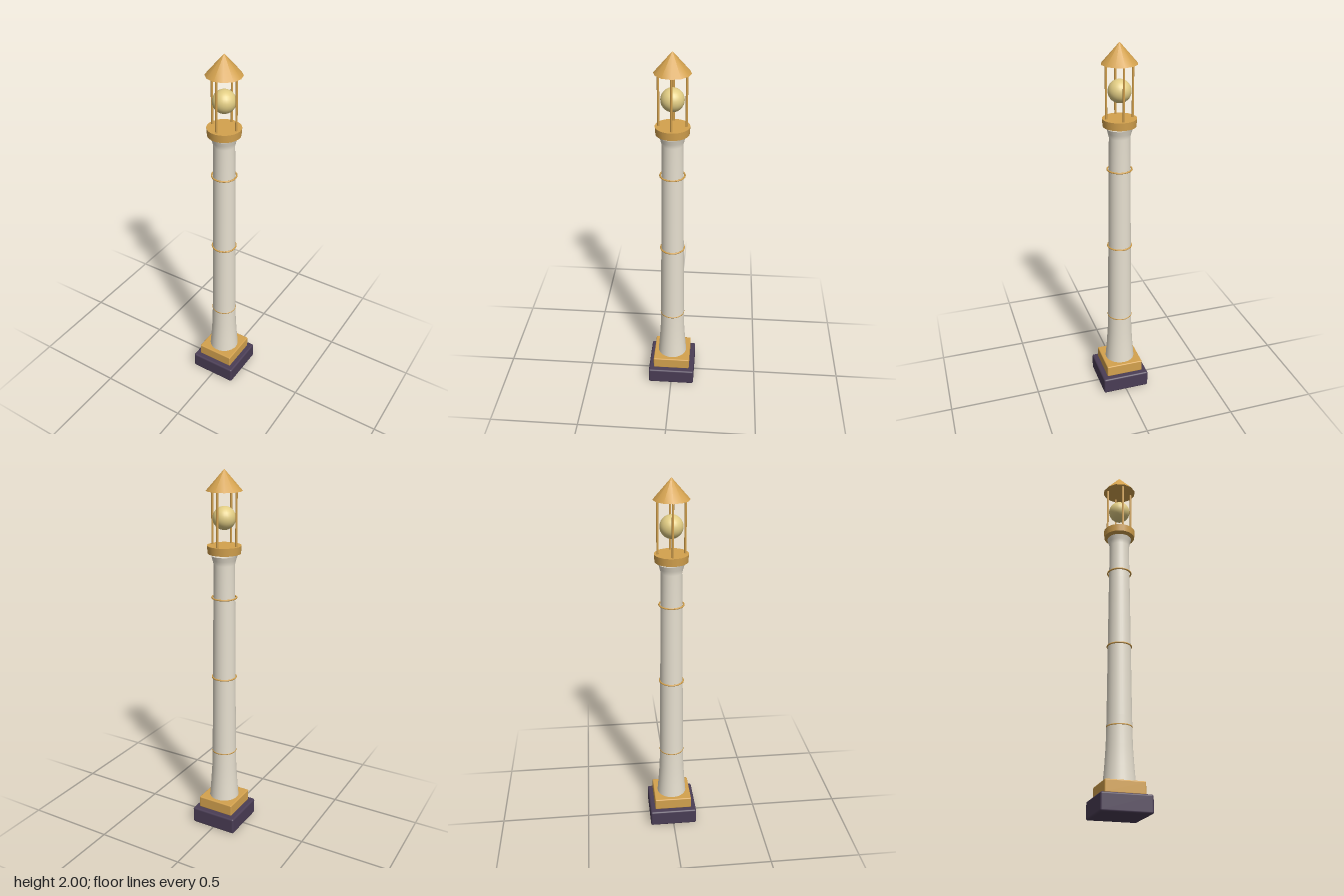
import * as THREE from 'three';
import { RoundedBoxGeometry } from 'three/addons/geometries/RoundedBoxGeometry.js';

function material(name, color) {
  const m = new THREE.MeshStandardMaterial({ color });
  m.name = name;
  return m;
}

export function createModel() {
  const model = new THREE.Group();
  model.name = 'lanternTower';
  const gold = material('gold', 0xd4a24e);
  const stone = material('pale stone', 0xe6dfcf);
  const plum = material('dark plum', 0x4a3d55);
  const glow = material('lamp yellow', 0xe2cd84);
  stone.side = THREE.DoubleSide;

  const add = (name, geometry, mat, x, y, z) => {
    const mesh = new THREE.Mesh(geometry, mat);
    mesh.name = name;
    mesh.position.set(x, y, z);
    model.add(mesh);
    return mesh;
  };

  // Stepped square base
  add('plinth', new RoundedBoxGeometry(0.266, 0.093, 0.266, 3, 0.01), plum, 0, 0.0465, 0);
  add('baseStep', new RoundedBoxGeometry(0.21, 0.066, 0.21, 3, 0.006), gold, 0, 0.127, 0);

  // Tapered shaft with flared foot and neck
  const profile = [
    [0.083, 0.158], [0.076, 0.24], [0.069, 0.35], [0.066, 0.5], [0.062, 0.9],
    [0.058, 1.3], [0.055, 1.52], [0.061, 1.545], [0.068, 1.568],
  ].map(([r, y]) => new THREE.Vector2(r, y));
  add('shaft', new THREE.LatheGeometry(profile, 32), stone, 0, 0, 0);

  // Rings around the shaft
  for (const y of [0.45, 0.897, 1.345]) {
    const ring = add('shaftRing', new THREE.TorusGeometry(0.0645, 0.0045, 8, 32), gold, 0, y, 0);
    ring.rotation.x = Math.PI / 2;
  }

  // Lantern: floor, four posts, lamp and pointed roof
  add('lanternFloor', new THREE.CylinderGeometry(0.089, 0.086, 0.041, 24), gold, 0, 1.6, 0);
  for (let i = 0; i < 4; i++) {
    const a = (i * Math.PI) / 2;
    add('lanternPost', new THREE.CylinderGeometry(0.006, 0.006, 0.285, 8), gold,
      Math.cos(a) * 0.07, 1.757, Math.sin(a) * 0.07);
  }
  add('lamp', new THREE.SphereGeometry(0.06, 24, 16), glow, 0, 1.759, 0);
  add('roof', new THREE.ConeGeometry(0.093, 0.106, 12), gold, 0, 1.947, 0);

  return model;
}
